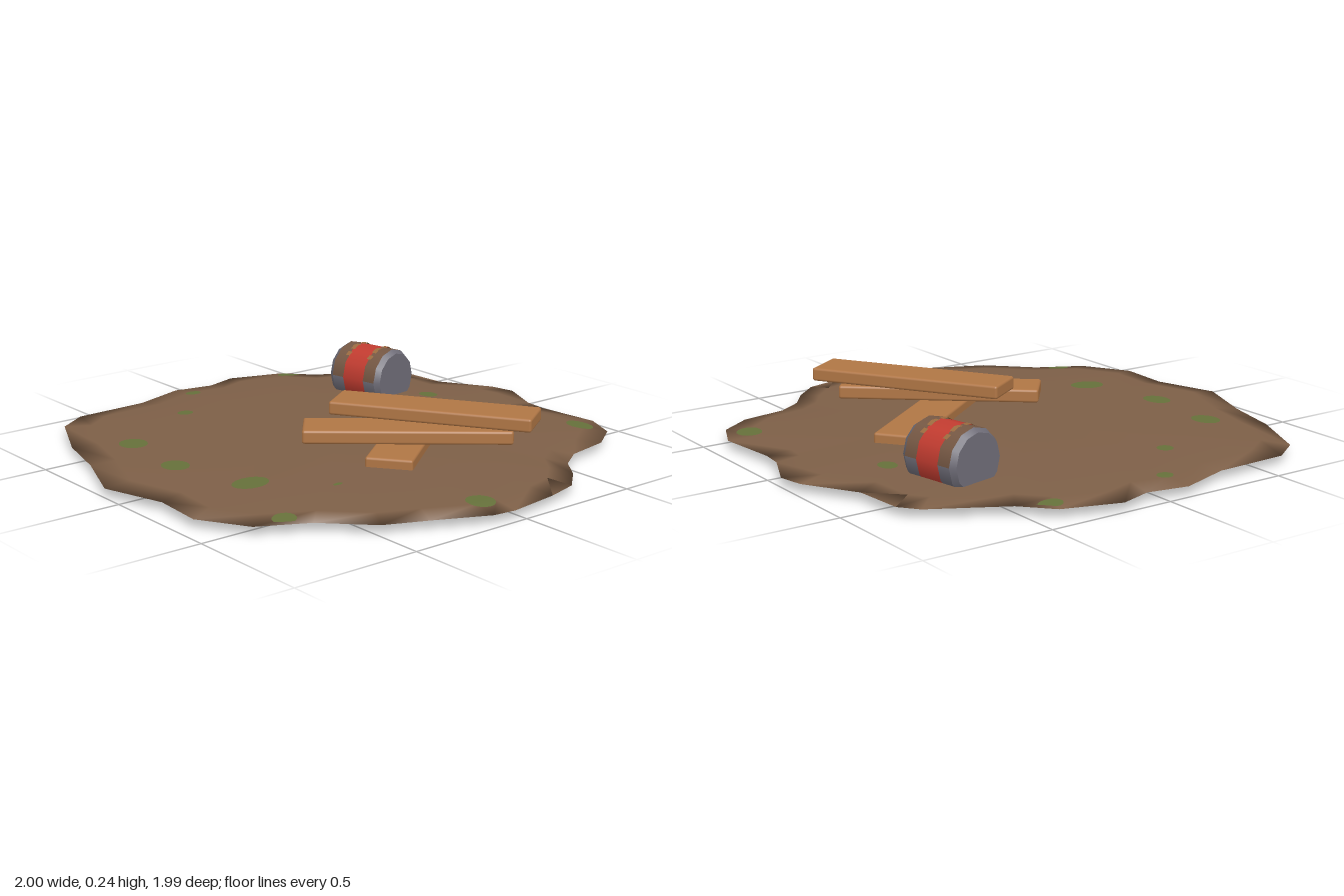
import * as THREE from 'three';
import { RoundedBoxGeometry } from 'three/addons/geometries/RoundedBoxGeometry.js';

const mat = (name, color, side = THREE.FrontSide) => {
  const m = new THREE.MeshStandardMaterial({ color, side });
  m.name = name;
  return m;
};

// Ragged outline of the dirt patch, as x, z
const OUTLINE = [
  [-0.6, -0.91], [-0.3, -0.92], [-0.09, -0.99], [0.07, -0.96], [0.2, -1], [0.42, -0.93], [0.52, -0.82],
  [0.79, -0.67], [0.845, -0.6], [0.86, -0.4], [0.98, -0.2], [1, -0.1], [0.925, 0.07], [0.915, 0.16],
  [0.94, 0.415], [0.88, 0.55], [0.755, 0.635], [0.57, 0.67], [0.47, 0.735], [0.4, 0.83], [0.3, 0.92],
  [0.17, 0.955], [-0.04, 0.985], [-0.13, 0.975], [-0.33, 0.88], [-0.49, 0.81], [-0.65, 0.65],
  [-0.83, 0.555], [-0.94, 0.37], [-0.925, 0.16], [-1, -0.09], [-0.9, -0.345], [-0.84, -0.575], [-0.72, -0.83],
];

// Height profiles from centre to rim: [fraction of the outline, y]
const TOP = [[0, 0.064], [0.55, 0.061], [0.9, 0.051], [1, 0.04]];
const UNDER = [[0, 0.05], [0.9, 0.045], [1, 0.04]];

function profileHeight(profile, t) {
  for (let i = 1; i < profile.length; i++) {
    const [t0, y0] = profile[i - 1], [t1, y1] = profile[i];
    if (t <= t1) return y0 + (y1 - y0) * (t - t0) / (t1 - t0);
  }
  return profile[profile.length - 1][1];
}

// How far out a point lies, 0 at the centre and 1 on the outline
function outlineFraction(x, z) {
  for (let i = 0; i < OUTLINE.length; i++) {
    const [ax, az] = OUTLINE[i], [bx, bz] = OUTLINE[(i + 1) % OUTLINE.length];
    const det = ax * bz - az * bx;
    const u = (x * bz - z * bx) / det, v = (ax * z - az * x) / det;
    if (u >= -1e-9 && v >= -1e-9) return u + v;
  }
  return 0;
}

// Closed low mound: rings out over the top, then back in underneath
function groundGeometry() {
  const rings = [...TOP, ...UNDER.slice(0, -1).reverse()];
  const n = OUTLINE.length, pos = [], index = [];
  for (const [t, y] of rings) for (const [x, z] of OUTLINE) pos.push(x * t, y, z * t);
  for (let k = 0; k < rings.length - 1; k++) {
    for (let i = 0; i < n; i++) {
      const j = (i + 1) % n, a = k * n + i, b = k * n + j, c = b + n, d = a + n;
      if (rings[k][0] > 0) index.push(a, b, c);
      if (rings[k + 1][0] > 0) index.push(a, c, d);
      else index.push(a, b, d);
    }
  }
  const g = new THREE.BufferGeometry();
  g.setAttribute('position', new THREE.Float32BufferAttribute(pos, 3));
  g.setIndex(index);
  g.computeVertexNormals();
  return g;
}

// Thin moss spot that follows the ground, on its top or underside
function mossGeometry(x, z, rx, rz, up) {
  const g = new THREE.RingGeometry(0, 1, 16, 3).rotateX(up ? -Math.PI / 2 : Math.PI / 2);
  const p = g.attributes.position;
  for (let i = 0; i < p.count; i++) {
    let px = x + p.getX(i) * rx, pz = z + p.getZ(i) * rz;
    const t = outlineFraction(px, pz), s = t > 0.98 ? 0.98 / t : 1;
    px *= s; pz *= s;
    const y = up ? profileHeight(TOP, t * s) + 0.002 : profileHeight(UNDER, t * s) - 0.002;
    p.setXYZ(i, px, y, pz);
  }
  g.computeVertexNormals();
  return g;
}

export function createModel() {
  const model = new THREE.Group();
  model.name = 'campDebris';
  const dirt = mat('dirt brown', 0x7d5f47);
  const moss = mat('moss green', 0x65703a);
  const wood = mat('plank wood', 0xb07645);
  const steel = mat('can steel', 0x6e6c77);
  const rust = mat('can rust', 0x765844);
  const red = mat('can red', 0xc23c30);
  const tan = mat('worn tan', 0x9c6c40);
  const add = (parent, name, geometry, material) => {
    const m = new THREE.Mesh(geometry, material);
    m.name = name;
    parent.add(m);
    return m;
  };

  add(model, 'dirtPatch', groundGeometry(), dirt);

  // Moss spots: x, z, radius x, radius z
  const spots = [
    [-0.66, -0.43, 0.053, 0.06], [-0.69, -0.105, 0.05, 0.06], [-0.6, 0.23, 0.072, 0.056],
    [-0.28, -0.64, 0.032, 0.03], [-0.08, -0.875, 0.033, 0.027], [0.42, -0.88, 0.05, 0.035],
    [0.65, -0.235, 0.034, 0.042], [0.835, 0.445, 0.045, 0.06], [-0.09, 0.865, 0.052, 0.055],
    [-0.71, 0.57, 0.045, 0.04], [-0.37, 0.435, 0.02, 0.01],
  ];
  for (const s of spots) {
    add(model, 'mossSpot', mossGeometry(...s, true), moss);
    add(model, 'mossSpotUnder', mossGeometry(...s, false), moss);
  }

  // Three stacked planks: x, y, z, turn
  const planks = [
    [0.187, 0.072, 0.185, 0.646],
    [0.077, 0.134, 0.291, -0.698],
    [0.2, 0.192, 0.302, -0.996],
  ];
  for (const [x, y, z, turn] of planks) {
    const p = add(model, 'plank', new RoundedBoxGeometry(0.775, 0.052, 0.178, 2, 0.01), wood);
    p.position.set(x, y, z);
    p.rotation.y = turn;
  }

  // Tin can lying on its side, sunk a little into the dirt
  const can = new THREE.Group();
  can.name = 'tinCan';
  can.position.set(0.52, 0.125, -0.445);
  can.rotation.y = 0.193;
  model.add(can);
  const R = 0.12, up = Math.PI;
  // Band along the axis from z0 to z1, centred on angle mid
  const band = (name, material, z0, z1, r0, r1, mid, sweep, sides) => {
    const g = new THREE.CylinderGeometry(r1, r0, z1 - z0, sides, 1, true, mid - sweep / 2, sweep);
    g.rotateX(Math.PI / 2).translate(0, 0, (z0 + z1) / 2);
    return add(can, name, g, material);
  };
  band('canLabel', red, -0.052, 0.052, R, R, up, Math.PI * 2, 12);
  for (const s of [-1, 1]) {
    const span = (a, b) => (s > 0 ? [a, b] : [-b, -a]);
    band('canRust', rust, ...span(0.052, 0.108), R, R, up, Math.PI, 6);
    band('canSide', steel, ...span(0.052, 0.108), R, R, 0, Math.PI, 6);
    const radii = s > 0 ? [R, 0.106] : [0.106, R];
    band('canRim', steel, ...span(0.108, 0.13), ...radii, up, Math.PI * 2, 12);
    band('labelWear', tan, ...span(0.045, 0.066), R + 0.002, R + 0.002, up, Math.PI / 2, 3).material.side = THREE.DoubleSide;
    const cap = add(can, 'canEnd', new THREE.CircleGeometry(0.106, 12), steel);
    cap.position.z = 0.13 * s;
    cap.rotation.set(0, s > 0 ? 0 : Math.PI, Math.PI / 2);
  }
  return model;
}
